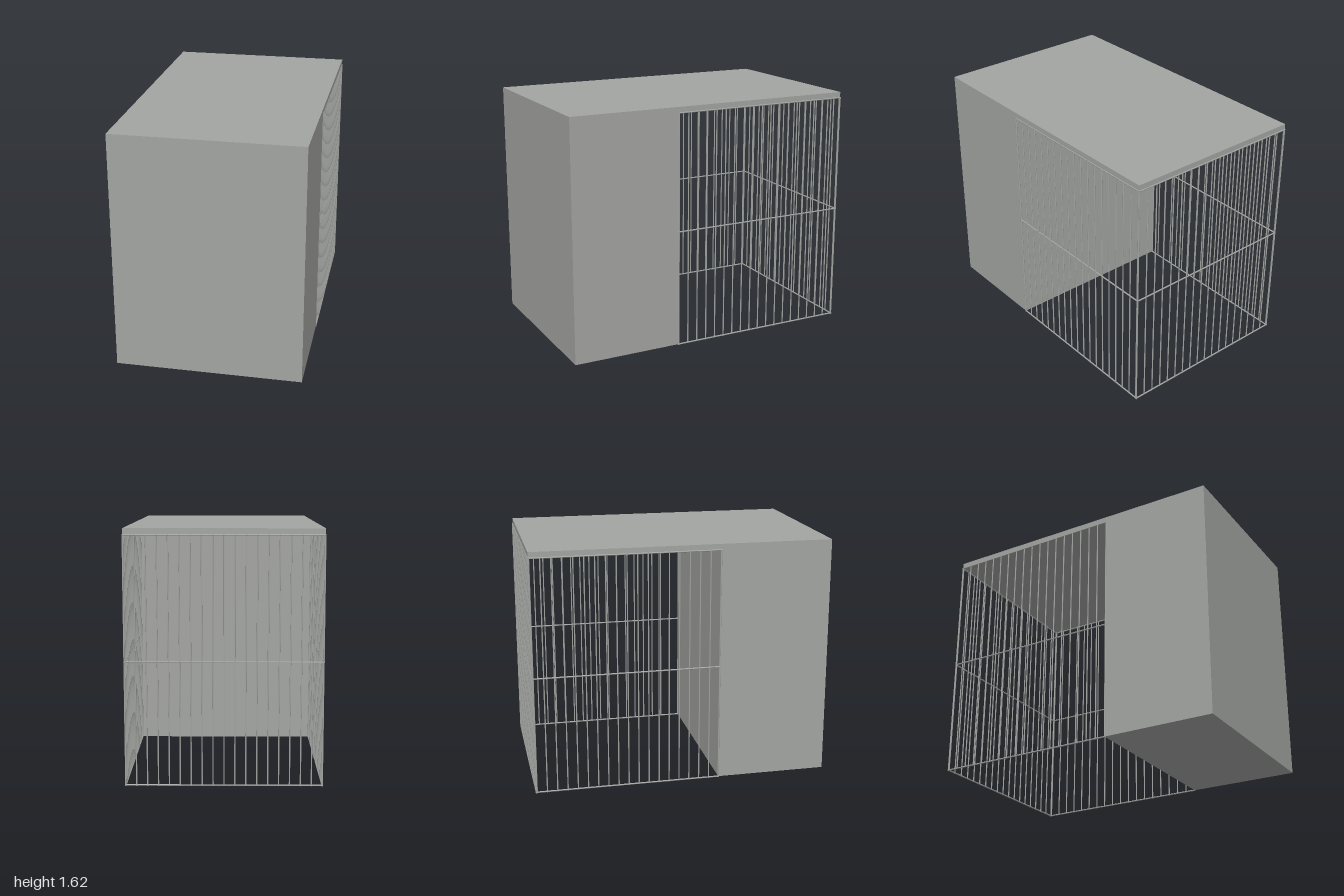
import * as THREE from 'three';

export function createModel() {
  const model = new THREE.Group();
  const paintedGrey = new THREE.MeshStandardMaterial({ color: 0xa3a5a2 });
  paintedGrey.name = 'paintedGrey';

  function box(name, size, position) {
    const mesh = new THREE.Mesh(new THREE.BoxGeometry(...size), paintedGrey);
    mesh.name = name;
    mesh.position.set(...position);
    model.add(mesh);
  }

  // Closed shelter at the front and the roof slab over the run
  box('shelter', [1.245, 1.62, 0.75], [0, 0.815, 0.625]);
  box('roof', [1.245, 0.035, 1.245], [0, 1.6075, -0.3725]);

  // Round rod, upright unless turned
  function rod(parent, name, radius, length, x, y) {
    const mesh = new THREE.Mesh(new THREE.CylinderGeometry(radius, radius, length, 12), paintedGrey);
    mesh.name = name;
    mesh.position.set(x, y, 0);
    parent.add(mesh);
    return mesh;
  }

  // One fence panel in the xy plane: three rails and evenly spaced uprights
  const height = 1.59, frame = 0.005, bar = 0.0043, gaps = 18;
  function fence(name, width) {
    const group = new THREE.Group();
    group.name = name;
    for (const y of [frame, height / 2, height - frame]) {
      rod(group, 'rail', frame, width, 0, y).rotation.z = Math.PI / 2;
    }
    for (let i = 0; i <= gaps; i++) {
      const edge = i === 0 || i === gaps;
      const x = (i / gaps - 0.5) * (width - 2 * frame);
      rod(group, edge ? 'post' : 'bar', edge ? frame : bar, height, x, height / 2);
    }
    model.add(group);
    return group;
  }

  // Two sides and the back of the run
  for (const side of [1, -1]) {
    const panel = fence(side > 0 ? 'leftFence' : 'rightFence', 1.25);
    panel.rotation.y = Math.PI / 2;
    panel.position.set(side * 0.621, 0, -0.37);
  }
  fence('backFence', 1.252).position.z = -0.995;

  return model;
}
